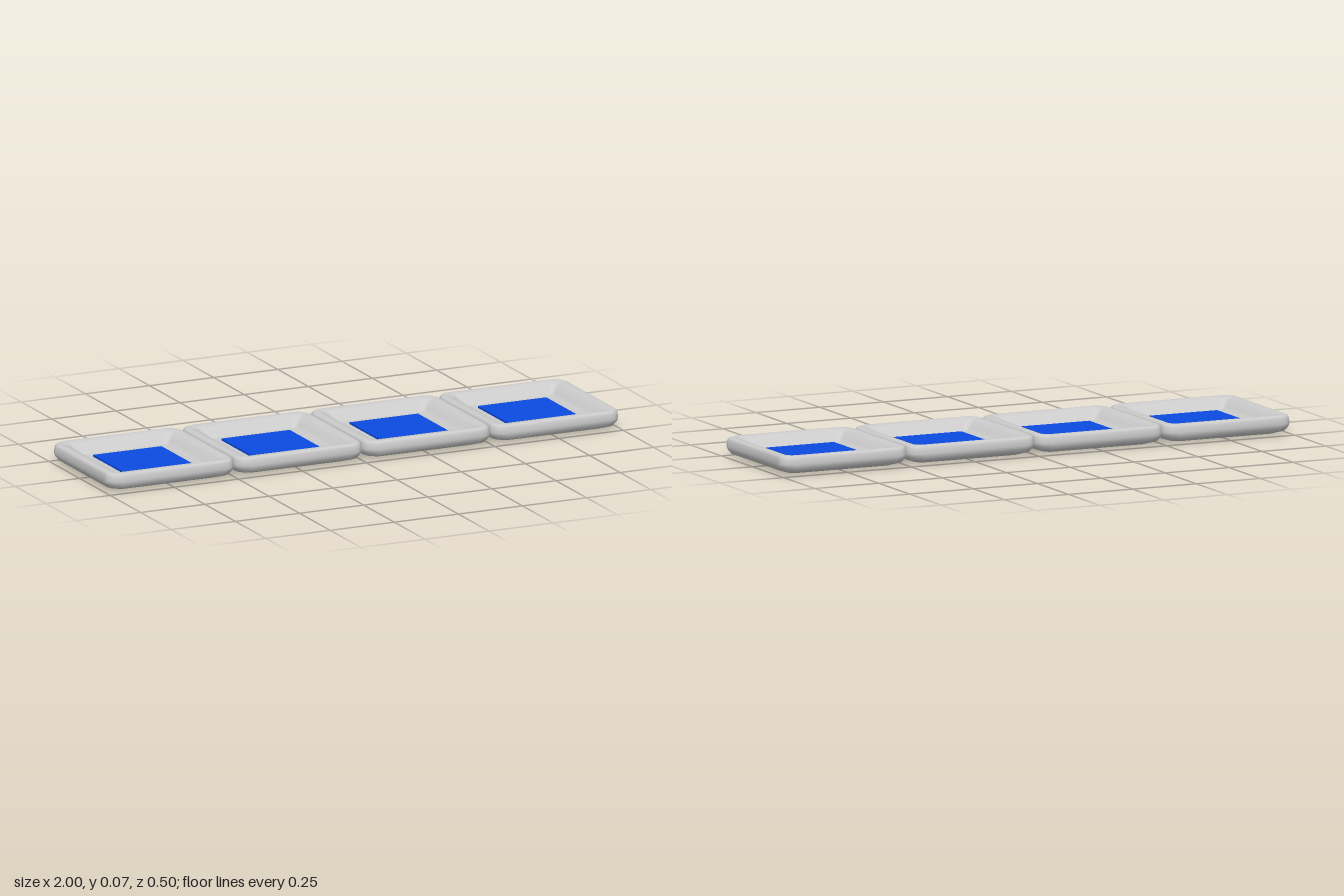
import * as THREE from 'three';

// Surface lofted through rounded-square rings, each [half width, height, corner radius]
function loftRoundedSquare(rings, cornerSteps = 5) {
  const positions = [], index = [];
  const count = 4 * (cornerSteps + 1);
  for (const [half, y, r] of rings) {
    for (let corner = 0; corner < 4; corner++) {
      const mid = (corner + 0.5) * Math.PI / 2;
      const cx = Math.sign(Math.cos(mid)) * (half - r);
      const cz = Math.sign(Math.sin(mid)) * (half - r);
      for (let s = 0; s <= cornerSteps; s++) {
        const a = (corner + s / cornerSteps) * Math.PI / 2;
        positions.push(cx + r * Math.cos(a), y, cz + r * Math.sin(a));
      }
    }
  }
  for (let i = 0; i < rings.length - 1; i++) {
    for (let j = 0; j < count; j++) {
      const k = (j + 1) % count;
      const a = i * count + j, b = i * count + k;
      const c = a + count, d = b + count;
      index.push(a, c, b, b, c, d);
    }
  }
  const geometry = new THREE.BufferGeometry();
  geometry.setAttribute('position', new THREE.Float32BufferAttribute(positions, 3));
  geometry.setIndex(index);
  geometry.computeVertexNormals();
  return geometry;
}

export function createModel() {
  const model = new THREE.Group();
  model.name = 'trayRow';
  const grey = new THREE.MeshStandardMaterial({ color: 0xcccccc });
  const blue = new THREE.MeshStandardMaterial({ color: 0x0b4be0 });

  // Underside, rounded outer wall, rim, sloping inner wall, recessed floor
  const trayGeometry = loftRoundedSquare([
    [0, 0, 0], [0.17, 0, 0.02], [0.205, 0.004, 0.035], [0.236, 0.015, 0.045],
    [0.246, 0.028, 0.05], [0.25, 0.042, 0.05], [0.247, 0.062, 0.05],
    [0.242, 0.069, 0.047], [0.234, 0.072, 0.042], [0.215, 0.07, 0.03],
    [0.2, 0.063, 0.024], [0.182, 0.044, 0.018], [0.172, 0.035, 0.014],
    [0.16, 0.032, 0.01], [0, 0.032, 0],
  ]);
  const padGeometry = new THREE.BoxGeometry(0.266, 0.012, 0.266);

  // Four identical trays side by side, each with a blue pad on its floor
  for (let i = 0; i < 4; i++) {
    const unit = new THREE.Group();
    unit.name = `trayUnit${i + 1}`;
    unit.position.x = -0.75 + i * 0.5;
    const tray = new THREE.Mesh(trayGeometry, grey);
    tray.name = 'tray';
    const pad = new THREE.Mesh(padGeometry, blue);
    pad.name = 'pad';
    pad.position.y = 0.033;
    unit.add(tray, pad);
    model.add(unit);
  }
  return model;
}
